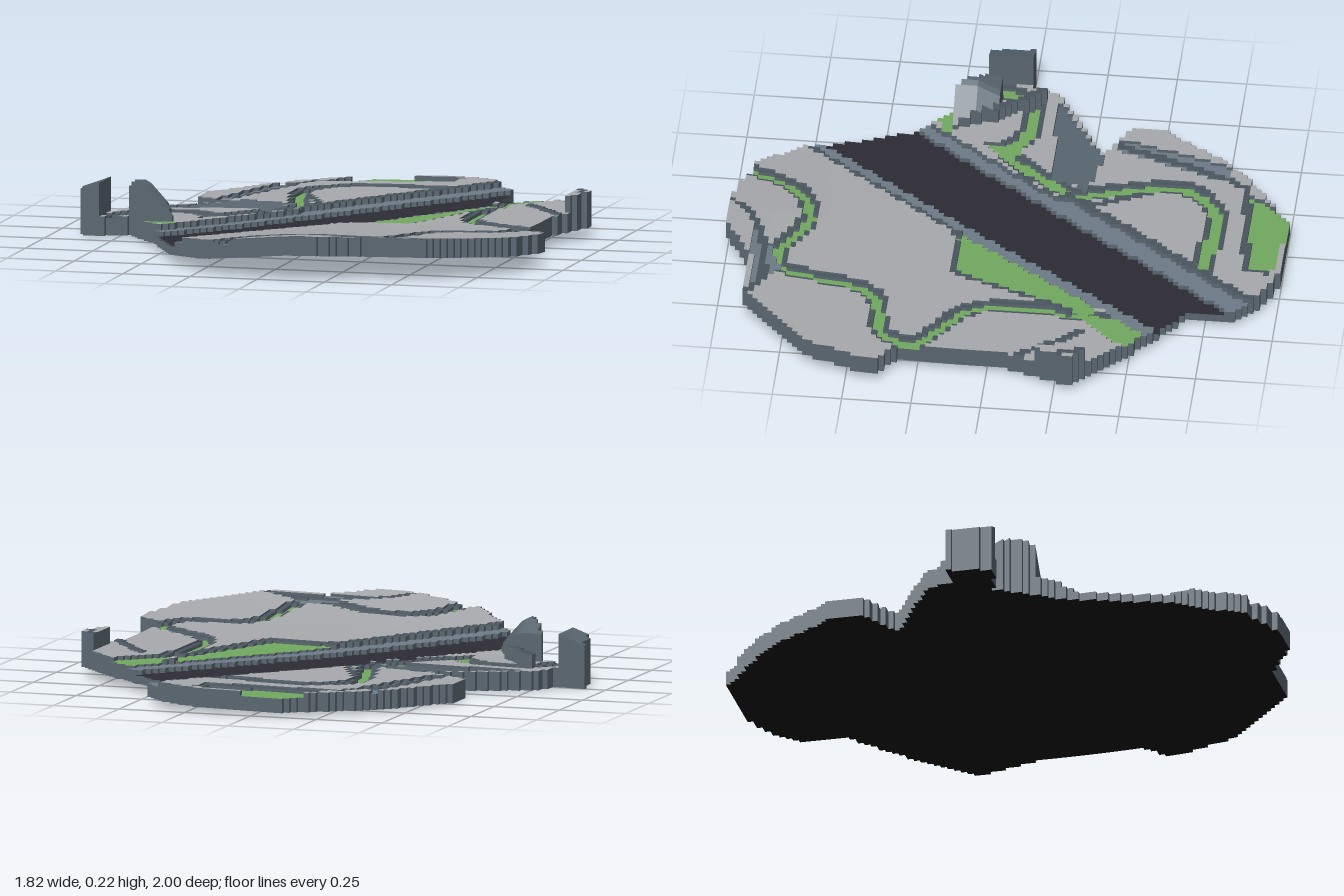
import * as THREE from 'three';

const CELL = 0.02;
const { clamp } = THREE.MathUtils;

const points = pairs => pairs.map(([x, z]) => new THREE.Vector2(x, z));
const curve = pairs => new THREE.SplineCurve(points(pairs)).getPoints(pairs.length * 5);

// Plan outline of the slab, as [x, z]: east half, then west half
const eastEdge = points([[0.2, -1], [0.37, -0.93], [0.43, -0.85], [0.43, -0.7], [0.7, -0.49], [0.88, -0.3], [0.81, -0.08],
  [0.81, 0.32], [0.91, 0.4], [0.84, 0.66], [0.6, 0.89], [0.37, 0.9], [0.2, 1], [0.05, 1]]);
const westEdge = points([[-0.2, 0.93], [-0.4, 0.7], [-0.56, 0.34], [-0.71, 0.13], [-0.88, 0.17], [-0.91, 0.01],
  [-0.8, 0], [-0.78, -0.1], [-0.43, -0.29], [-0.6, -0.38], [-0.6, -0.5], [-0.4, -0.78], [-0.1, -1]]);
const outline = [...eastEdge, ...westEdge];

// Winding trails between the terraces
const eastTrail = curve([[0.56, -0.46], [0.53, 0.04], [0.77, 0.25], [0.72, 0.39], [0.5, 0.45], [0.43, 0.76],
  [0.33, 0.8], [0.12, 0.71], [-0.05, 0.76], [-0.14, 0.94]]);
const northTrail = curve([[-0.17, -0.2], [-0.26, -0.56], [-0.18, -0.7], [-0.05, -0.74], [0.22, -0.71]]);
const westTrail = curve([[-0.78, 0.1], [-0.7, -0.01], [-0.52, -0.01], [-0.4, 0.05], [-0.21, -0.17]]);

// Dark ledges
const northLedge = points([[0.22, -0.96], [0.2, -0.87], [-0.28, -0.83], [-0.38, -0.66], [-0.5, -0.34]]);
const southLedge = curve([[0.06, 1], [0.2, 0.88], [0.48, 0.84], [0.59, 0.88]]);
const innerLedge = points([[-0.12, -0.28], [-0.22, -0.5]]);
const eastLedge = points([[0.64, -0.34], [0.82, -0.11]]);
const cornerLedge = points([[0.83, -0.36], [0.88, -0.21]]);
const cragLedge = points([[-0.74, -0.06], [-0.58, 0.14]]);

// Patches of ground
const northMeadow = points([[-0.26, -0.83], [-0.12, -1], [0.2, -0.98], [0.22, -0.88]]);
const southShelf = points([[0.15, 0.9], [0.42, 0.78], [0.6, 0.88]]);
const westBank = points([[-0.4, -0.78], [-0.31, -0.74], [-0.46, -0.34], [-0.53, -0.36]]);
const westSlope = points([[-0.76, -0.09], [-0.4, -0.3], [-0.2, -0.26], [-0.28, -0.13]]);
const fork = points([[-0.46, 0], [-0.33, 0.02], [-0.47, 0.16]]);
const crag = points([[-0.72, 0.1], [-0.6, 0.1], [-0.51, 0.29], [-0.72, 0.24]]);
const cragFoot = points([[-0.65, 0.3], [-0.52, 0.28]]);

function inside(poly, x, z) {
  let hit = false;
  poly.forEach((a, i) => {
    const b = poly[(i + 1) % poly.length];
    if ((a.y > z) !== (b.y > z) && x < (b.x - a.x) * (z - a.y) / (b.y - a.y) + a.x) hit = !hit;
  });
  return hit;
}

function near(path, x, z, reach) {
  return path.slice(1).some((b, i) => {
    const a = path[i], dx = b.x - a.x, dz = b.y - a.y;
    const t = clamp(((x - a.x) * dx + (z - a.y) * dz) / (dx * dx + dz * dz), 0, 1);
    return Math.hypot(x - a.x - t * dx, z - a.y - t * dz) < reach;
  });
}

// A feature covers the cells that pass its test and stands h above the underside
const feature = (color, h, test) => ({ color, h: typeof h === 'number' ? () => h : h, test });
const area = (poly, color, h) => feature(color, h, (x, z) => inside(poly, x, z));
const line = (path, reach, color, h) => feature(color, h, (x, z) => near(path, x, z, reach));
const trail = (path, reach) => [line(path, reach, 'green', 0.05), line(path, reach + 0.017, 'darkSlate', 0.062)];

// The straight road: distance across it (a) and along it (t)
const band = (color, h, test) => feature(color, h, (x, z) => {
  const t = -0.62 * x + 0.783 * z;
  return test(0.783 * x + 0.62 * z, t, 0.115 + 0.03 * t);
});

const westFeatures = [
  feature('slope', x => 0.165 + (x + 0.9) * 0.35, (x, z) => x < -0.81 && z > 0),
  line(cragFoot, 0.025, 'green', 0.07),
  area(crag, 'slope', (x, z) => 0.21 - Math.max(0, x + 0.63) * 1.1 - Math.max(0, 0.18 - z) * 0.5),
  line(cragLedge, 0.013, 'darkSlate', 0.12),
];
const roadFeatures = [
  band('asphalt', 0.03, (a, t, right) => a > -0.174 && a < right),
  band('slate', 0.047, (a, t, right) => a > (t < -0.04 ? -0.25 : -0.22) && a < right + 0.055),
  band('darkSlate', 0.066, (a, t, right) =>
    (t < -0.04 && a > -0.275 && a < 0) || (t > 0.05 && a > 0 && a < right + 0.075)),
];
// Roadside meadow, widest in the middle, with its dark rim
const meadowEdge = t => 0.18 + 0.17 * clamp((0.08 - t) / 0.16, 0, 1) - 0.12 * clamp((-0.1 - t) / 0.4, 0, 1);
const eastFeatures = [
  feature('green', 0.055, (x, z) => x > 0.53 && x < 0.71 && z < -0.3 - (x - 0.55)),
  band('green', 0.055, (a, t) => t < 0.08 && t > -0.6 && a > 0 && a < meadowEdge(t)),
  band('darkSlate', 0.065, (a, t) => t < 0.1 && t > -0.55 && a > 0 && a < meadowEdge(t) + 0.024),
  line(cornerLedge, 0.011, 'darkSlate', 0.13),
  feature('grey', 0.13, (x, z) => x > 0.83 && z < -0.18),
  line(eastLedge, 0.012, 'darkSlate', 0.075),
];
const outerFeatures = [
  line(southLedge, 0.013, 'darkSlate', 0.066),
  area(southShelf, 'slate', 0.06),
  line(northLedge, 0.013, 'darkSlate', 0.064),
  area(northMeadow, 'green', 0.052),
  area(westBank, 'slate', 0.058),
  area(fork, 'green', 0.055),
  area(westSlope, 'slope', (x, z) => 0.06 - (z + 0.17) * 0.12),
  line(innerLedge, 0.012, 'darkSlate', 0.066),
];
// Earlier features cover later ones; the grey plateau fills the rest
const features = [...westFeatures, ...roadFeatures, ...eastFeatures, ...outerFeatures,
  ...trail(westTrail, 0.025), ...trail(northTrail, 0.025), ...trail(eastTrail, 0.02),
  feature('grey', 0.07, () => true)];

// Gently curved underside, lifting toward the front
function underside(x, z) {
  const lift = z > 0 ? 0.07 * z * z * clamp(0.9 + x, 0.6, 1) : 0;
  return Math.max(0, 0.018 + 0.02 * x + lift);
}

export function createModel() {
  const group = new THREE.Group();
  group.name = 'terrain';
  const colors = { grey: 0xa8aaad, slate: 0x6e7b87, darkSlate: 0x4a555e, slope: 0x596670, green: 0x72aa60,
    asphalt: 0x2d2c35, black: 0x151518 };
  const names = { grey: 'terraces', slate: 'roadBanks', darkSlate: 'ledges', slope: 'rockSlopes', green: 'grassTrails',
    asphalt: 'road', black: 'underside', walls: 'cliffWalls' };
  const buffers = {};
  for (const key in names) buffers[key] = [];
  const quad = (key, a, b, c, d) => buffers[key].push(...a, ...b, ...c, ...a, ...c, ...d);

  // Sort the plan into square cells
  const N = Math.round(2 / CELL);
  const cells = Array.from({ length: N * N }, (_, k) => {
    const x = -1 + (Math.floor(k / N) + 0.5) * CELL, z = -1 + (k % N + 0.5) * CELL;
    return inside(outline, x, z) ? features.find(f => f.test(x, z)) : null;
  });
  const cellAt = (i, j) => (i < 0 || j < 0 || i >= N || j >= N ? null : cells[i * N + j]);
  const sides = [[0, 1], [1, 0], [0, -1], [-1, 0]];
  const height = (f, [x, z]) => underside(x, z) + (f ? f.h(x, z) : 0);
  const point = (f, p) => [p[0], height(f, p), p[1]];

  for (let i = 0; i < N; i++) for (let j = 0; j < N; j++) {
    const f = cellAt(i, j);
    if (!f) continue;
    const x0 = -1 + i * CELL, x1 = x0 + CELL, z0 = -1 + j * CELL, z1 = z0 + CELL;
    const corners = [[x0, z1], [x1, z1], [x1, z0], [x0, z0]];
    // top and underside
    quad(f.color, ...corners.map(p => point(f, p)));
    quad('black', ...corners.map(p => point(null, p)).reverse());
    // cliffs down to lower neighbours or the slab edge
    sides.forEach(([di, dj], k) => {
      const g = cellAt(i + di, j + dj);
      if (g === f) return;
      const p = corners[k], q = corners[(k + 1) % 4];
      const lowP = Math.min(height(f, p), height(g, p)), lowQ = Math.min(height(f, q), height(g, q));
      if (height(f, p) - lowP + height(f, q) - lowQ < 1e-5) return;
      quad('walls', point(f, p), [p[0], lowP, p[1]], [q[0], lowQ, q[1]], point(f, q));
    });
  }

  // One mesh for each kind of surface; cliffs share the rock slope colour
  const materials = {};
  for (const key in colors) {
    materials[key] = new THREE.MeshStandardMaterial({ color: colors[key] });
    materials[key].name = key;
  }
  for (const key in names) {
    const geometry = new THREE.BufferGeometry();
    geometry.setAttribute('position', new THREE.Float32BufferAttribute(buffers[key], 3));
    geometry.computeVertexNormals();
    const mesh = new THREE.Mesh(geometry, materials[key] || materials.slope);
    mesh.name = names[key];
    group.add(mesh);
  }
  return group;
}
